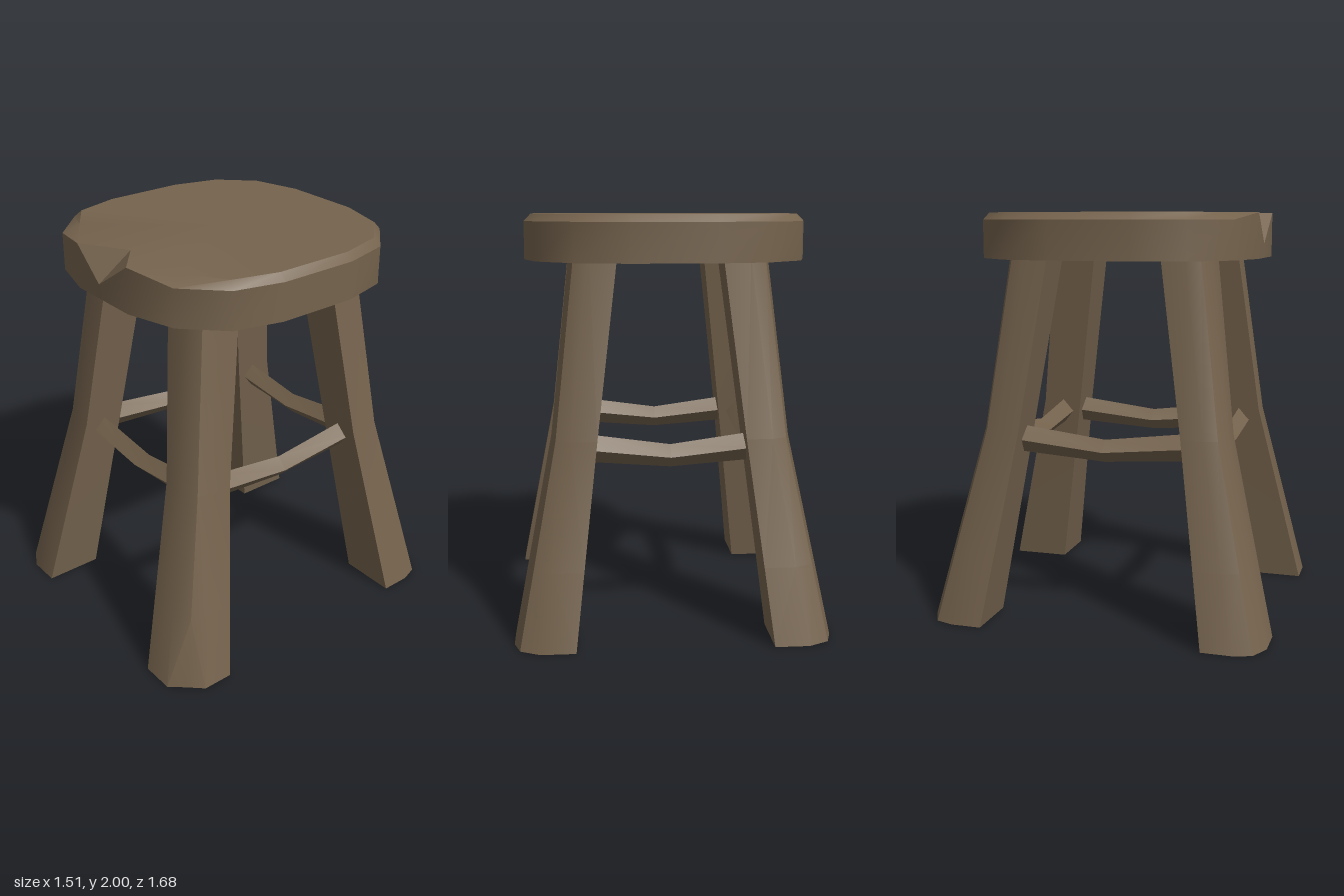
import * as THREE from 'three';
import { toCreasedNormals } from 'three/addons/utils/BufferGeometryUtils.js';

const wood = new THREE.MeshStandardMaterial({ color: 0x75634d, roughness: 0.9 });

// Skin a stack of rings of [x, y, z] points and close both ends with fans.
// Quads before "split" use one diagonal, the rest use the other.
function loft(rings, { mirrored = false, split = Infinity } = {}) {
  const n = rings[0].length, pos = rings.flat(2), index = [];
  const tri = (a, b, c) => index.push(a, ...(mirrored ? [c, b] : [b, c]));
  for (let r = 0; r < rings.length - 1; r++) {
    for (let j = 0; j < n; j++) {
      const k = (j + 1) % n;
      const a = r * n + j, b = r * n + k, c = a + n, d = b + n;
      if (j < split) { tri(a, b, d); tri(a, d, c); }
      else { tri(a, b, c); tri(b, d, c); }
    }
  }
  const last = rings.length - 1;
  for (const r of [0, last]) {
    const centre = pos.length / 3;
    for (let i = 0; i < 3; i++) pos.push(rings[r].reduce((s, p) => s + p[i], 0) / n);
    for (let j = 0; j < n; j++) {
      const a = r * n + j, b = r * n + (j + 1) % n;
      if (r === last) tri(centre, a, b); else tri(centre, b, a);
    }
  }
  const geo = new THREE.BufferGeometry();
  geo.setAttribute('position', new THREE.Float32BufferAttribute(pos, 3));
  geo.setIndex(index);
  return toCreasedNormals(geo, 0.6);
}

function part(name, geo) {
  const mesh = new THREE.Mesh(geo, wood);
  mesh.name = name;
  return mesh;
}

// Rounded-square slab with a worn front edge and a chipped notch.
function seat() {
  // Right half from front to back: outer x, z, rim height, inner x, z
  const half = [
    [0.2, 0.69, 2, 0.2, 0.69], [0.45, 0.62, 1.965, 0.42, 0.54],
    [0.63, 0.44, 1.965, 0.595, 0.42], [0.69, 0.2, 1.965, 0.655, 0.2],
    [0.69, -0.2, 1.965, 0.655, -0.2], [0.63, -0.44, 1.965, 0.595, -0.43],
    [0.45, -0.62, 1.965, 0.44, -0.59], [0.2, -0.69, 1.965, 0.2, -0.655],
  ];
  const other = half.map(([x, z, y, u, w]) => [-x, z, y, -u, w]).reverse();
  const outline = [...half, ...other, [-0.03, 0.69, 1.85, 0.03, 0.55]];
  return part('seat', loft([
    outline.map(([x, z]) => [x, 1.78, z]),
    outline.map(([x, z, y]) => [x, y, z]),
    outline.map(([, , , u, w]) => [u, 2, w]),
  ]));
}

// Splayed leg, square inside with a rounded outer corner and a bend halfway up.
function leg(name, sx, sz, chipped) {
  const section = [[0, 1], [0.57, 1], [0.9, 0.83], [1, 0.52], [1, 0], [0, 0]];
  // y, inner x, outer x, inner z, outer z
  const levels = [
    [0, 0.465, 0.755, 0.55, 0.84],
    [0.36, 0.423, 0.685, 0.495, 0.755],
    [0.95, 0.353, 0.57, 0.405, 0.615],
    [1.8, 0.25, 0.477, 0.28, 0.507],
  ];
  const rings = levels.map(([y, x0, x1, z0, z1]) => section.map(([u, w]) =>
    [sx * (x0 + u * (x1 - x0)), y, sz * (z0 + w * (z1 - z0))]));
  // Cut the outer corner of the foot back to a straight line
  if (chipped) rings[0][2] = [sx * 0.69, 0, sz * 0.77];
  return part(name, loft(rings, { mirrored: sx * sz < 0, split: 2 }));
}

// Sagging rail with a diamond section, thinner in the middle.
function rail(name, halfLength) {
  const rings = [[-1, 0.9, 0.068], [0, 0.855, 0.055], [1, 0.9, 0.068]].map(([t, y, h]) =>
    [[-1, 0], [0, 1], [1, 0], [0, -1]].map(([z, v]) =>
      [t * halfLength, y + v * h, z * 0.055]));
  return part(name, loft(rings));
}

export function createModel() {
  const group = new THREE.Group();
  group.name = 'stool';
  group.add(seat());

  for (const sx of [1, -1]) for (const sz of [1, -1]) {
    const name = (sz > 0 ? 'front' : 'back') + (sx > 0 ? 'Left' : 'Right') + 'Leg';
    group.add(leg(name, sx, sz, sx > 0 && sz > 0));
  }

  for (const s of [1, -1]) {
    const cross = rail(s > 0 ? 'frontRail' : 'backRail', 0.42);
    cross.position.z = s * 0.505;
    const side = rail(s > 0 ? 'leftRail' : 'rightRail', 0.47);
    side.rotation.y = Math.PI / 2;
    side.position.x = s * 0.455;
    group.add(cross, side);
  }
  return group;
}
